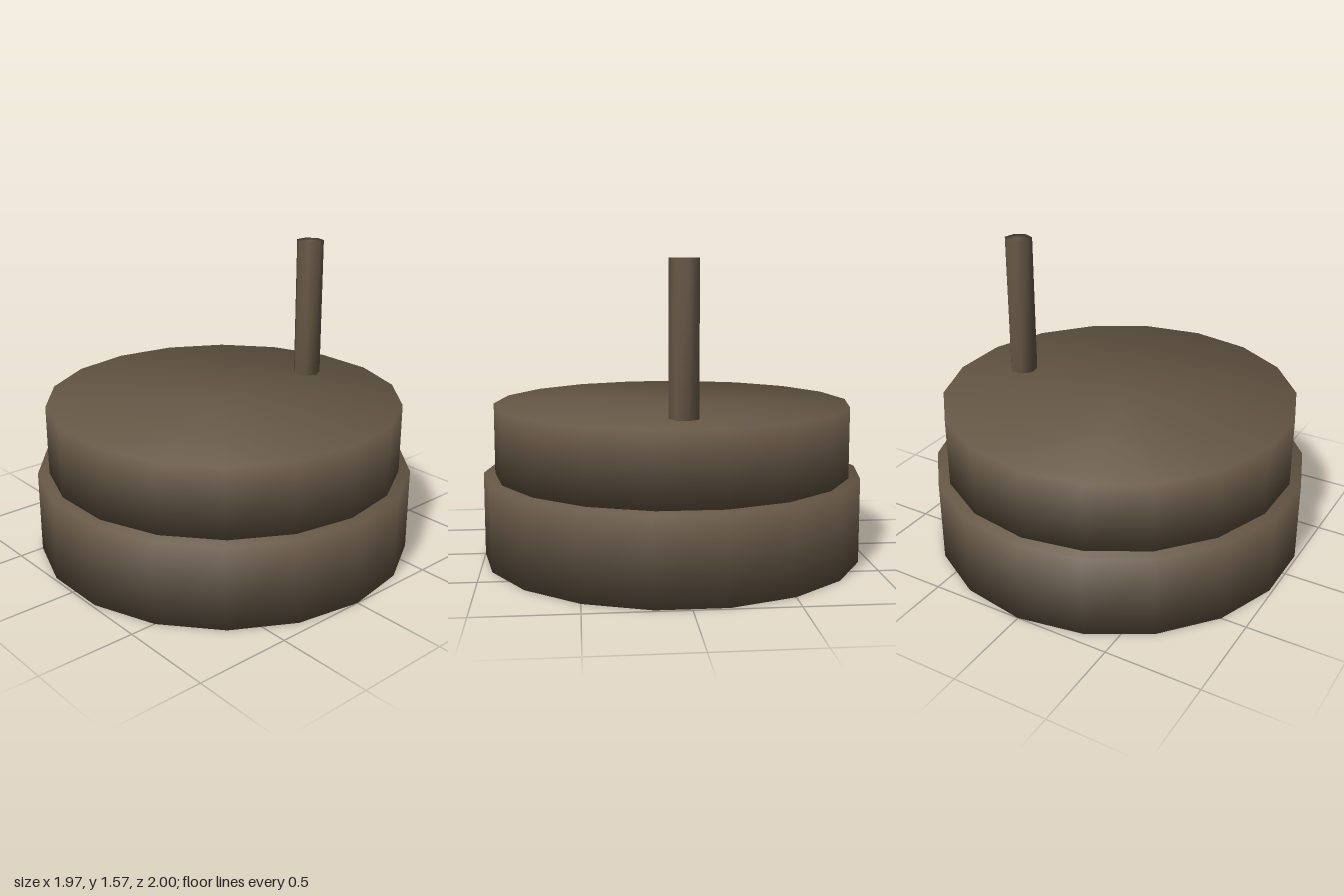
import * as THREE from 'three';
import { mergeVertices } from 'three/addons/utils/BufferGeometryUtils.js';

// Low-poly drum whose rims share smooth normals between wall and caps
function drum(name, radius, y0, y1, sides, material, x = 0) {
  const raw = new THREE.CylinderGeometry(radius, radius, y1 - y0, sides);
  raw.deleteAttribute('normal');
  raw.deleteAttribute('uv');
  raw.clearGroups();
  const geometry = mergeVertices(raw, 1e-4);
  geometry.computeVertexNormals();
  const mesh = new THREE.Mesh(geometry, material);
  mesh.name = name;
  mesh.position.set(x, (y0 + y1) / 2, 0);
  return mesh;
}

export function createModel() {
  const stone = new THREE.MeshStandardMaterial({ color: 0x655745 });
  stone.name = 'brown stone';

  const model = new THREE.Group();
  model.name = 'handMill';
  model.add(
    drum('lowerStone', 1, 0, 0.44, 18, stone),
    drum('upperStone', 0.94, 0.44, 0.81, 18, stone),
    // Upright turning handle near the rim
    drum('handle', 0.075, 0.81, 1.565, 7, stone, 0.622),
  );
  return model;
}
